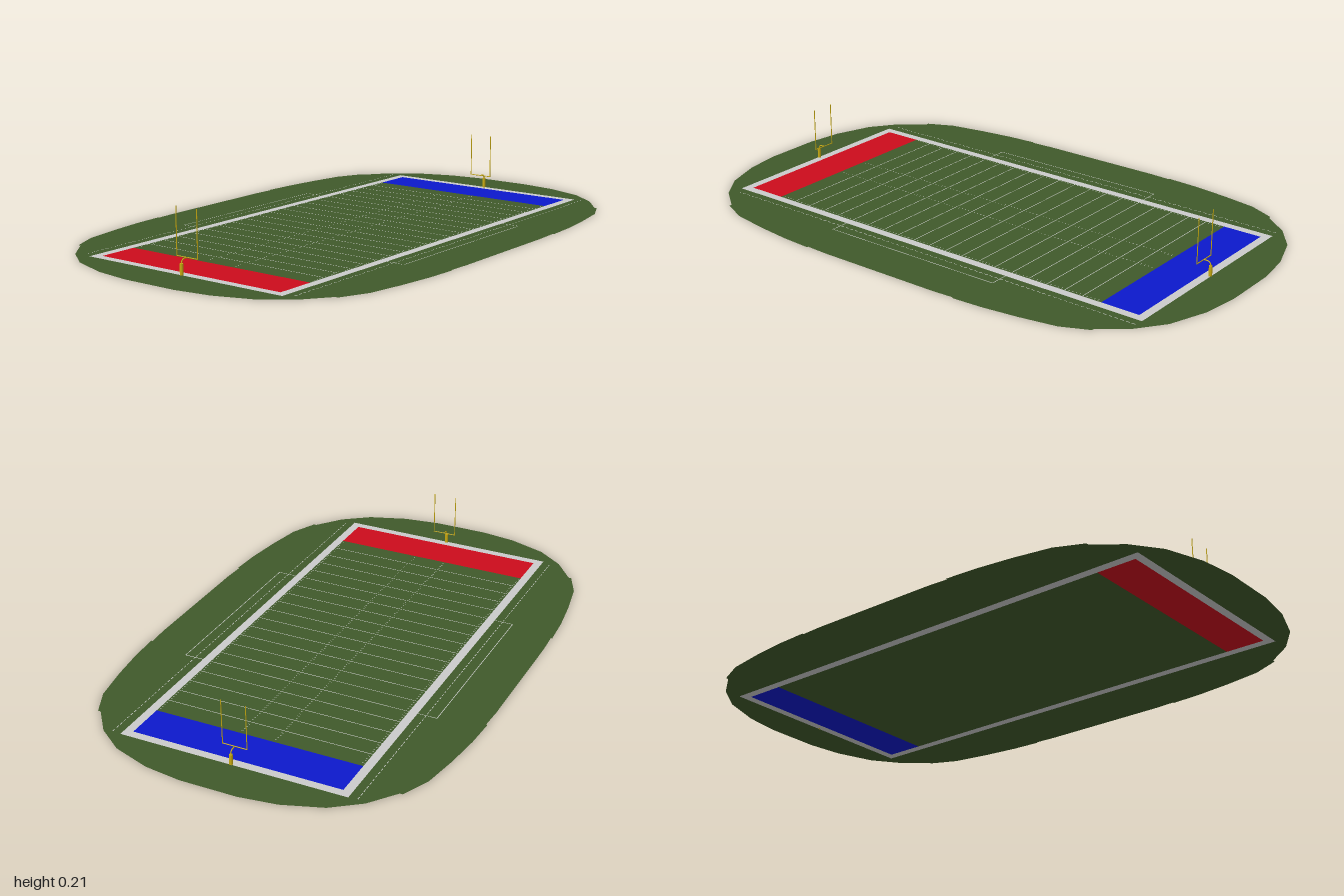
import * as THREE from 'three';
import { mergeGeometries } from 'three/addons/utils/BufferGeometryUtils.js';

const mat = (color, side = THREE.FrontSide) => new THREE.MeshStandardMaterial({ color, side });

function mesh(name, geometry, material, parent) {
  const m = new THREE.Mesh(geometry, material);
  m.name = name;
  parent.add(m);
  return m;
}

const rectPoints = (x, z) => [[-x, -z], [x, -z], [x, z], [-x, z]].map(p => new THREE.Vector2(...p));

// Flat shape lying on the ground, with an optional rectangular hole
function ground(points, hole) {
  const shape = new THREE.Shape(points);
  if (hole) shape.holes.push(new THREE.Path(hole));
  return new THREE.ShapeGeometry(shape).rotateX(-Math.PI / 2);
}

// Painted strip just above the grass, centred on x, z
const strip = (x, z, w, d) => new THREE.PlaneGeometry(w, d).rotateX(-Math.PI / 2).translate(x, 0.0006, z);

export function createModel() {
  const model = new THREE.Group();
  model.name = 'footballField';
  const green = mat(0x405a2b, THREE.DoubleSide);
  const white = mat(0xcccccc);
  const yellow = mat(0xc8aa10);

  // Grass surround: one quarter of the outline, mirrored twice
  const quarter = [[1, 0.1], [0.982, 0.23], [0.935, 0.365], [0.865, 0.46], [0.775, 0.53], [0.775, 0.54],
    [0.68, 0.583], [0.55, 0.606], [0.42, 0.622], [0.31, 0.628], [0.31, 0.623], [0.23, 0.627]];
  const half = [...quarter, ...quarter.map(([x, z]) => [-x, z]).reverse()];
  const outline = [...half, ...half.map(([x, z]) => [x, -z]).reverse()];
  mesh('grassSurround', ground(outline.map(p => new THREE.Vector2(...p)), rectPoints(0.86, 0.4)), green, model);

  // Playing surface: border, pitch and end zones fitted edge to edge
  mesh('border', ground(rectPoints(0.86, 0.4), rectPoints(0.831, 0.37)), mat(0xcccccc, THREE.DoubleSide), model);
  mesh('pitch', ground(rectPoints(0.691, 0.37)), green, model);
  for (const [name, side, color] of [['leftEndZone', 1, 0x0c18cc], ['rightEndZone', -1, 0xcc0c1c]]) {
    mesh(name, ground(rectPoints(0.07, 0.37)), mat(color, THREE.DoubleSide), model).position.x = side * 0.761;
  }

  // Yard lines every five yards and hash marks every yard
  const yard = 0.0138;
  const lines = [], hashes = [];
  for (let i = -49; i <= 49; i++) {
    if (i % 5 === 0) lines.push(strip(i * yard, 0, 0.0025, 0.74));
    else for (const z of [-0.363, -0.06, 0.06, 0.363]) hashes.push(strip(i * yard, z, 0.002, 0.007));
  }
  mesh('yardLines', mergeGeometries(lines), white, model);
  mesh('hashMarks', mergeGeometries(hashes), white, model);

  // Team areas and dashed restraining lines beside the pitch
  const team = [], dashes = [];
  for (const s of [-1, 1]) {
    team.push(strip(0, s * 0.468, 0.69, 0.0025));
    for (const e of [-1, 1]) team.push(strip(e * 0.344, s * 0.434, 0.0025, 0.068));
    for (let x = -0.835; x < 0.85; x += 0.0208) dashes.push(strip(x, s * 0.43, 0.013, 0.0025));
  }
  mesh('teamAreaLines', mergeGeometries(team), white, model);
  mesh('restrainingLines', mergeGeometries(dashes), white, model);

  // Goal posts: padded base, curved neck, crossbar and two uprights
  for (const side of [1, -1]) {
    const goal = new THREE.Group();
    goal.name = side > 0 ? 'leftGoalPost' : 'rightGoalPost';
    const r = 0.0016;
    mesh('basePad', new THREE.CylinderGeometry(0.006, 0.006, 0.036, 12), yellow, goal).position.set(0.857, 0.018, 0);
    const neck = new THREE.CurvePath();
    const v = (x, y) => new THREE.Vector3(x, y, 0);
    neck.add(new THREE.LineCurve3(v(0.857, 0), v(0.857, 0.036)));
    neck.add(new THREE.QuadraticBezierCurve3(v(0.857, 0.036), v(0.856, 0.049), v(0.843, 0.05)));
    neck.add(new THREE.LineCurve3(v(0.843, 0.05), v(0.831, 0.05)));
    mesh('neck', new THREE.TubeGeometry(neck, 24, 0.002, 8), yellow, goal);
    mesh('crossbar', new THREE.CylinderGeometry(r, r, 0.088, 8).rotateX(Math.PI / 2), yellow, goal)
      .position.set(0.831, 0.05, 0);
    for (const z of [-0.043, 0.043]) {
      mesh('upright', new THREE.CylinderGeometry(r, r, 0.157, 8), yellow, goal).position.set(0.831, 0.1285, z);
    }
    if (side < 0) goal.rotation.y = Math.PI;
    model.add(goal);
  }
  return model;
}
